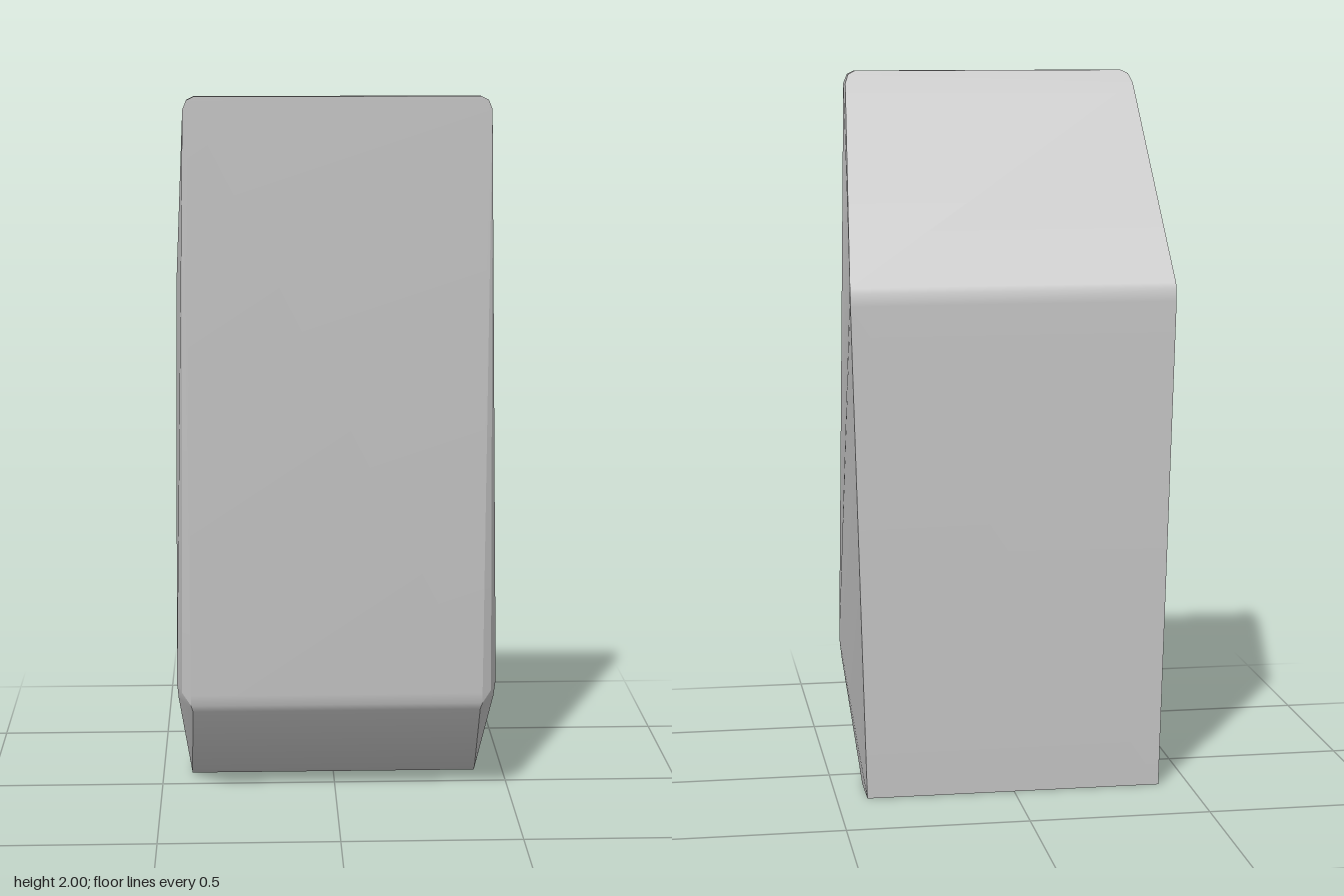
import * as THREE from 'three';
import { ConvexGeometry } from 'three/addons/geometries/ConvexGeometry.js';
import { toCreasedNormals } from 'three/addons/utils/BufferGeometryUtils.js';

export function createModel() {
  const group = new THREE.Group();
  group.name = 'slantedBlock';

  const grey = new THREE.MeshStandardMaterial({ color: 0xc4c4c4 });
  grey.name = 'grey';

  // Corner points of the left half [x, y, z]; mirrored to the right
  const half = [
    // rounded top front corner
    [0.385, 2, 0.25], [0.405, 1.99, 0.25], [0.415, 1.965, 0.249],
    [0.385, 2, 0.22], [0.405, 1.99, 0.212], [0.415, 1.965, 0.192],
    // upper back edge, below the slanted top
    [0.45, 1.43, -0.235], [0.45, 1.415, -0.243], [0.45, 1.38, -0.245],
    // bottom, rounding into the lower front slope
    [0.415, 0, -0.235], [0.415, 0, -0.1], [0.415, 0.006, -0.082], [0.415, 0.025, -0.06],
    // lower front corner and the start of the side chamfer
    [0.405, 0.28, 0.203], [0.41, 0.3, 0.212], [0.41, 0.33, 0.216],
    [0.435, 0.335, 0.202], [0.45, 0.36, 0.18], [0.446, 0.31, 0.165],
  ];
  const points = [];
  for (const [x, y, z] of half) {
    for (const side of [1, -1]) points.push(new THREE.Vector3(side * x, y, z));
  }

  // Solid body with softened bevels and sharp main edges
  const body = new THREE.Mesh(toCreasedNormals(new ConvexGeometry(points), 0.45), grey);
  body.name = 'body';
  group.add(body);
  return group;
}
